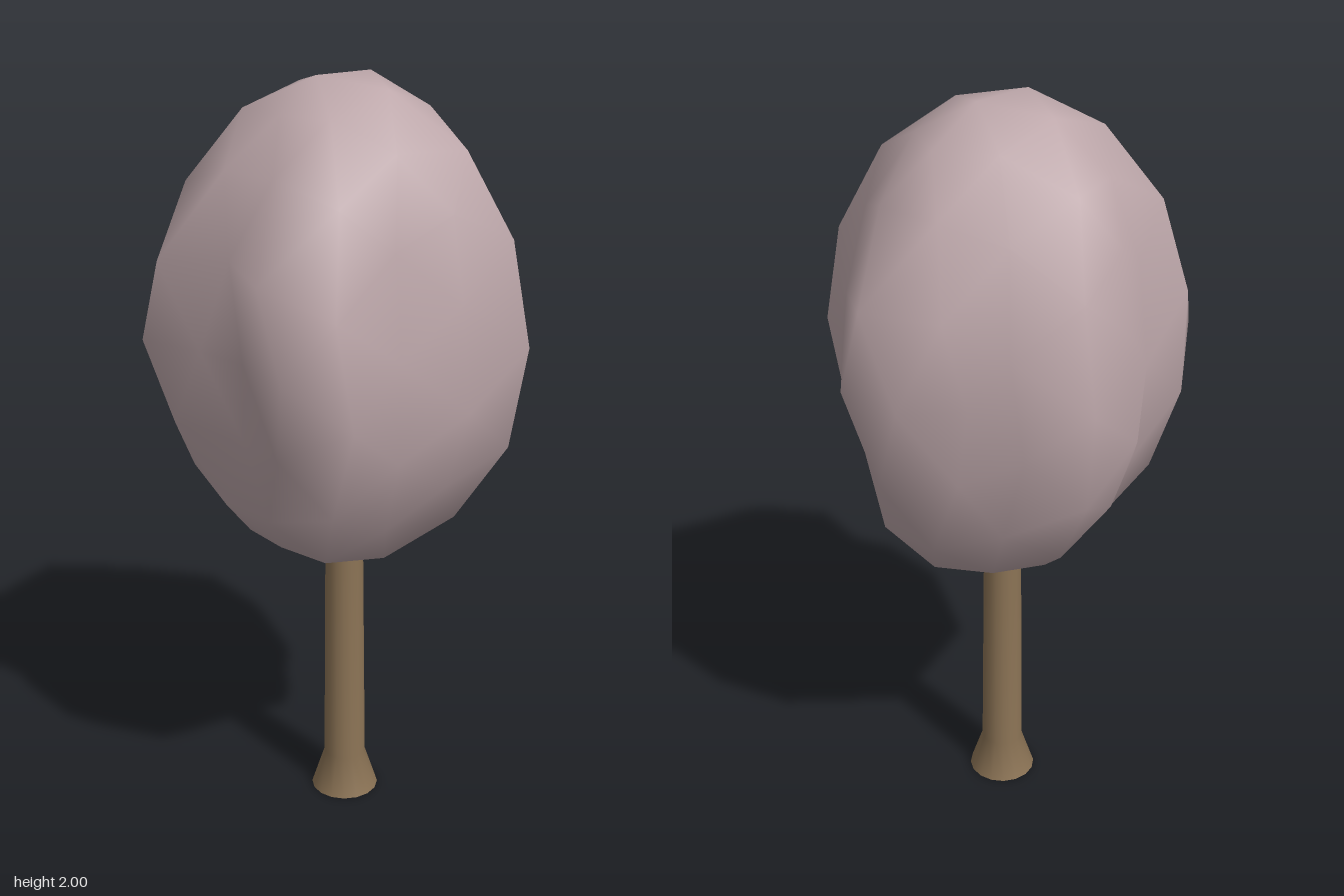
import * as THREE from 'three';
import { mergeVertices } from 'three/addons/utils/BufferGeometryUtils.js';

const CENTRE_X = -0.017, CENTRE_Z = -0.014;

// Stretched low-poly ball with five uneven upright lobes that fade towards the poles
function crownGeometry() {
  let geo = new THREE.IcosahedronGeometry(1, 2);
  geo.deleteAttribute('uv');
  geo.deleteAttribute('normal');
  geo = mergeVertices(geo, 1e-4);
  const pos = geo.attributes.position;
  for (let i = 0; i < pos.count; i++) {
    const x = pos.getX(i), y = pos.getY(i), z = pos.getZ(i);
    const angle = Math.atan2(z, x);
    // Lobes are strongest at the left rear of the plan and weakest opposite
    const depth = 0.14 - 0.035 * Math.cos(angle + Math.PI / 6);
    const lobe = 1 + depth * Math.hypot(x, z) * Math.cos(5 * angle);
    const sway = Math.sin(2 * Math.PI * y);
    pos.setXYZ(i,
      x * 0.458 * lobe * (1 + 0.055 * sway),
      y * 0.648,
      z * 0.432 * lobe * (1 - 0.035 * sway));
  }
  geo.computeVertexNormals();
  return geo;
}

export function createModel() {
  const bark = new THREE.MeshStandardMaterial({ color: 0x8b7355, side: THREE.DoubleSide });
  bark.name = 'bark brown';
  const leaves = new THREE.MeshStandardMaterial({ color: 0xbda7aa });
  leaves.name = 'dusty pink leaves';

  const tree = new THREE.Group();
  tree.name = 'tree';

  // Hollow trunk with a flared foot, open underneath
  const profile = [[0.094, 0], [0.058, 0.11], [0.051, 0.8]]
    .map(([r, y]) => new THREE.Vector2(r, y));
  const trunk = new THREE.Mesh(new THREE.LatheGeometry(profile, 16), bark);
  trunk.name = 'trunk';
  trunk.position.set(CENTRE_X, 0, CENTRE_Z);

  // Leafy crown
  const crown = new THREE.Mesh(crownGeometry(), leaves);
  crown.name = 'crown';
  crown.position.set(CENTRE_X, 1.367, CENTRE_Z);

  tree.add(trunk, crown);
  return tree;
}
